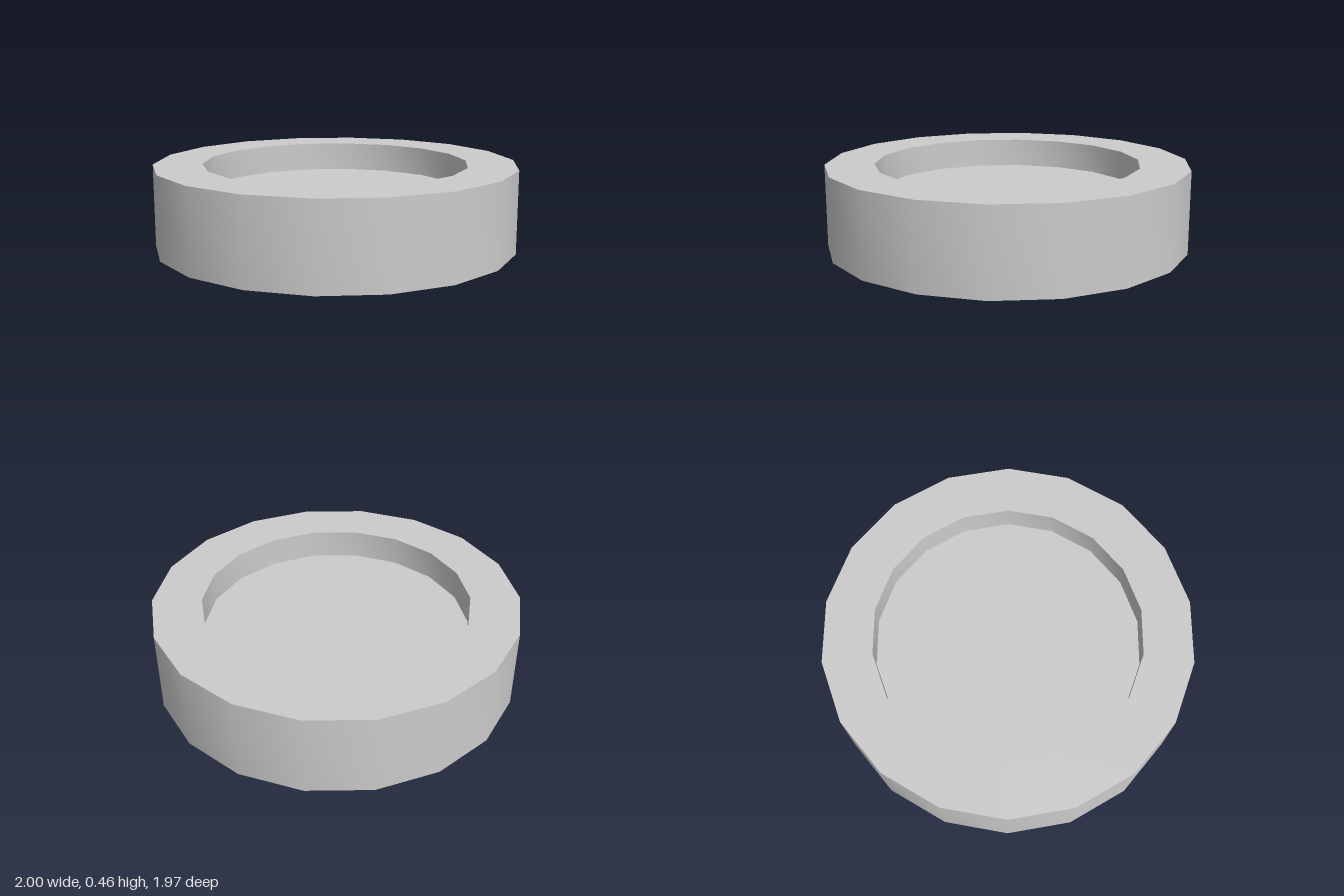
import * as THREE from 'three';
import { toCreasedNormals } from 'three/addons/utils/BufferGeometryUtils.js';

const SIDES = 18;
const HEIGHT = 0.455;
const RIM = 0.73; // inner radius of the ring
const RECESS = 0.163; // depth of the hollow on each face

export function createModel() {
  const group = new THREE.Group();
  group.name = 'recessedDisc';

  // Half section, from the underside of the web, round the ring, to its top
  const profile = [
    [0, RECESS], [RIM, RECESS], [RIM, 0], [1, 0],
    [1, HEIGHT], [RIM, HEIGHT], [RIM, HEIGHT - RECESS], [0, HEIGHT - RECESS],
  ].map(([r, y]) => new THREE.Vector2(r, y));

  // Turned so that corners lie on the x axis; walls smooth, rims sharp
  const lathe = new THREE.LatheGeometry(profile, SIDES, Math.PI / 2);
  const geometry = toCreasedNormals(lathe, THREE.MathUtils.degToRad(35));

  const disc = new THREE.Mesh(geometry, new THREE.MeshStandardMaterial({ color: 0xcccccc }));
  disc.name = 'ringWithWeb';
  group.add(disc);
  return group;
}
